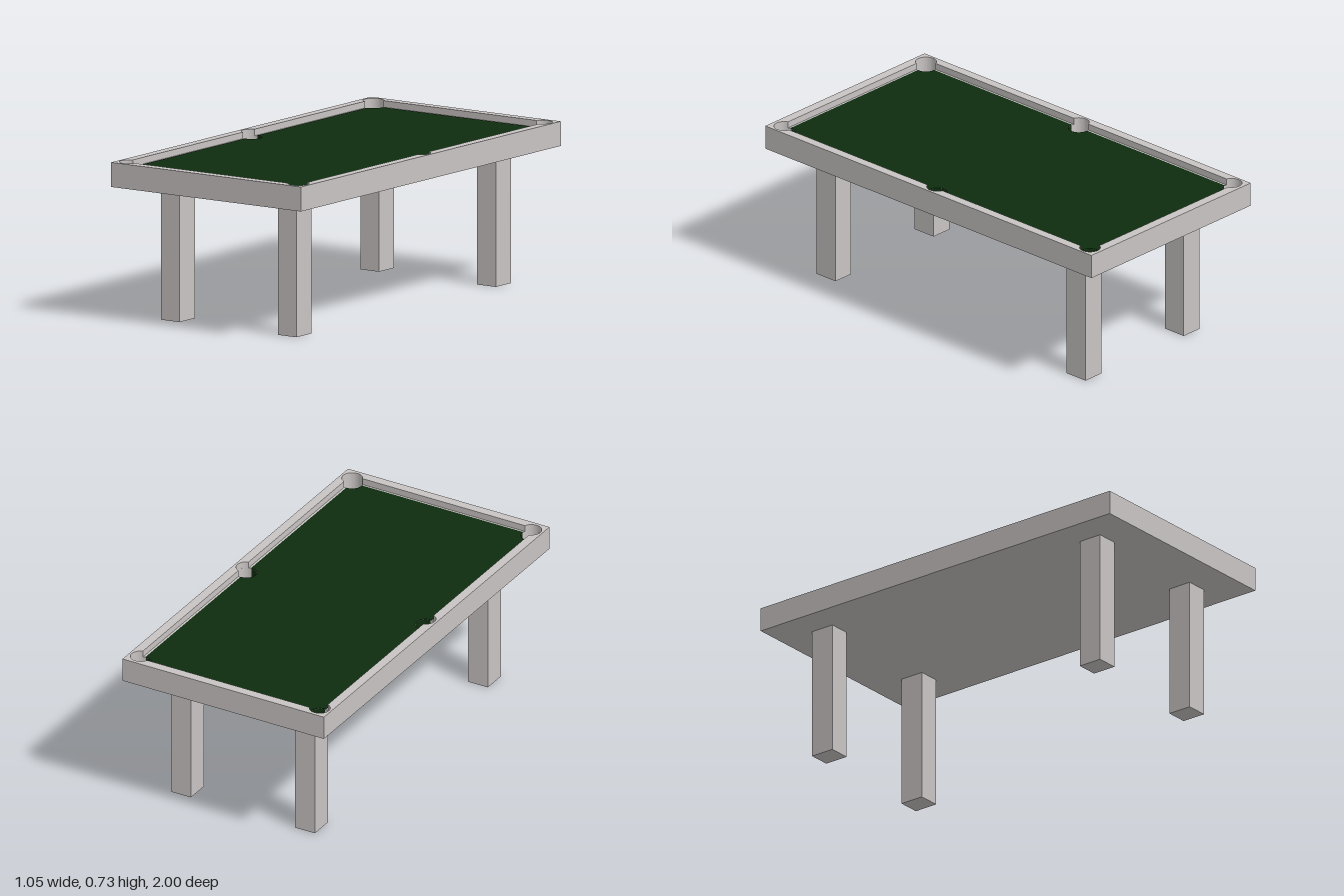
import * as THREE from 'three';

const HX = 0.523, HZ = 1;                 // half size of the table top
const BOTTOM = 0.615, WELL = 0.645, BED = 0.697, TOP = 0.727;
const PX = 0.465, PZ = 0.937, R = 0.047;  // pocket centres and radius
const POCKETS = [[1, 0], [1, 1], [-1, 1], [-1, 0], [-1, -1], [1, -1]];

// Rectangle whose pockets bulge outwards (rail opening) or bite inwards (cloth)
function pocketOutline(path, hx, hz, bite) {
  const p = Math.acos((hx - PX) / R), q = Math.acos((hz - PZ) / R), h = Math.PI / 2;
  const arcs = [[-p, p], [-p, h + q], [h - q, 2 * h + p],
    [2 * h - p, 2 * h + p], [2 * h - p, 3 * h + q], [3 * h - q, 4 * h + p]];
  POCKETS.forEach(([sx, sz], i) => path.absarc(sx * PX, sz * PZ, R, arcs[i][0], arcs[i][1], bite));
  return path;
}

function rectangle() {
  return new THREE.Shape([
    new THREE.Vector2(-HX, -HZ), new THREE.Vector2(HX, -HZ),
    new THREE.Vector2(HX, HZ), new THREE.Vector2(-HX, HZ),
  ]);
}

// Horizontal slab from a plan shape, between two heights
function slab(shape, y0, y1) {
  const geo = new THREE.ExtrudeGeometry(shape, { depth: y1 - y0, bevelEnabled: false, curveSegments: 24 });
  return geo.rotateX(-Math.PI / 2).translate(0, y0, 0);
}

export function createModel() {
  const model = new THREE.Group();
  model.name = 'poolTable';
  const frameMat = new THREE.MeshStandardMaterial({ color: 0xc9c4c4 });
  frameMat.name = 'paleGrey';
  const clothMat = new THREE.MeshStandardMaterial({ color: 0x0f2d0f, side: THREE.DoubleSide });
  clothMat.name = 'darkGreen';

  const add = (name, geo, mat, x = 0, y = 0, z = 0) => {
    const mesh = new THREE.Mesh(geo, mat);
    mesh.name = name;
    mesh.position.set(x, y, z);
    model.add(mesh);
  };

  // Base, which also forms the pocket floors
  add('base', new THREE.BoxGeometry(2 * HX, WELL - BOTTOM, 2 * HZ), frameMat, 0, (BOTTOM + WELL) / 2, 0);

  // Bed with six round pockets
  const bed = rectangle();
  for (const [sx, sz] of POCKETS) bed.holes.push(new THREE.Path().absarc(sx * PX, sz * PZ, R, 0, 2 * Math.PI));
  add('bed', slab(bed, WELL, BED), frameMat);

  // Raised rails around the playing surface
  const rails = rectangle();
  rails.holes.push(pocketOutline(new THREE.Path(), 0.48, 0.955, false));
  add('rails', slab(rails, BED, TOP), frameMat);

  // Thin cloth, cut away at the pockets
  add('cloth', slab(pocketOutline(new THREE.Shape(), 0.468, 0.943, true), BED, BED + 0.002), clothMat);

  // Cloth lining on the table side of each pocket
  for (const [sx, sz] of POCKETS) {
    const sweep = sz ? Math.PI / 2 : Math.PI;
    const lining = new THREE.CylinderGeometry(R - 0.001, R - 0.001, BED - WELL, 16, 1, true,
      Math.atan2(-sx, -sz) - sweep / 2, sweep);
    add('pocketLining', lining, clothMat, sx * PX, (BED + WELL) / 2, -0 + sz * PZ);
  }

  // Four square legs
  for (const sx of [-1, 1]) for (const sz of [-1, 1]) {
    add('leg', new THREE.BoxGeometry(0.103, BOTTOM, 0.116), frameMat, sx * 0.322, BOTTOM / 2, sz * 0.767);
  }
  return model;
}
